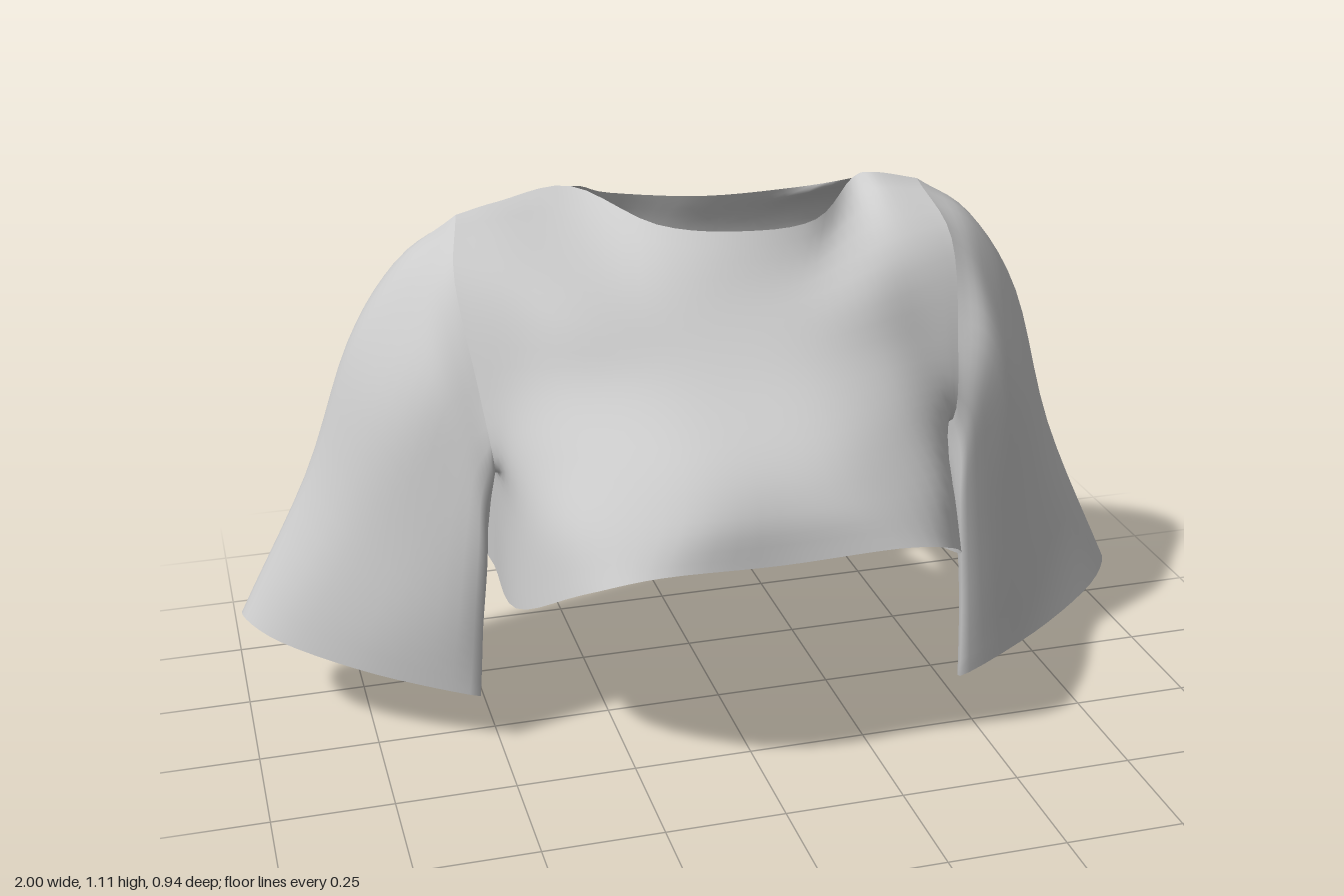
import * as THREE from 'three';
import { mergeVertices, mergeGeometries } from 'three/addons/utils/BufferGeometryUtils.js';

const S = 5; // subdivisions between neighbouring control points
const V = (p) => new THREE.Vector3(...p);
const sample = (pts, n, closed = false) => {
  const c = new THREE.CatmullRomCurve3(pts, closed, 'catmullrom', 0.5);
  return Array.from({ length: closed ? n : n + 1 }, (_, i) => c.getPoint(i / n));
};
// smooth rows lengthwise, column by column
const loft = (rows) => {
  const cols = rows[0].map((_, j) => sample(rows.map((r) => r[j]), (rows.length - 1) * S));
  return cols[0].map((_, i) => cols.map((c) => c[i]));
};
// triangles for a grid of points
function skin(grid, flip, closed) {
  const w = grid[0].length, pos = grid.flat().flatMap((p) => p.toArray()), idx = [];
  for (let i = 0; i < grid.length - 1; i++) {
    for (let j = 0; j < (closed ? w : w - 1); j++) {
      const k = (j + 1) % w;
      const a = i * w + j, b = (i + 1) * w + j, c = (i + 1) * w + k, d = i * w + k;
      idx.push(...(flip ? [a, c, b, a, d, c] : [a, b, c, a, c, d]));
    }
  }
  const g = new THREE.BufferGeometry();
  g.setAttribute('position', new THREE.Float32BufferAttribute(pos, 3));
  g.setIndex(idx);
  return g;
}

// half rows from the centre to the side, shoulder line down to hem
const FRONT = [
  [[0, 1.06, -0.02], [0.17, 1.065, -0.07], [0.31, 1.1, -0.25], [0.41, 1.1, -0.22], [0.5, 1.085, -0.2]],
  [[0, 0.93, 0.08], [0.15, 0.93, 0.075], [0.3, 0.96, 0.03], [0.42, 0.98, -0.02], [0.53, 0.99, -0.06]],
  [[0, 0.82, 0.2], [0.16, 0.82, 0.19], [0.31, 0.82, 0.14], [0.43, 0.81, 0.08], [0.51, 0.8, 0.05]],
  [[0, 0.72, 0.36], [0.17, 0.72, 0.34], [0.33, 0.71, 0.25], [0.45, 0.68, 0.14], [0.49, 0.64, 0.09]],
  [[0, 0.63, 0.43], [0.19, 0.63, 0.42], [0.37, 0.6, 0.33], [0.46, 0.55, 0.16], [0.475, 0.57, -0.08]],
  [[0, 0.53, 0.45], [0.24, 0.54, 0.46], [0.38, 0.49, 0.39], [0.475, 0.37, 0.18], [0.47, 0.335, -0.1]],
];
const BACK = [
  [[0, 1.045, -0.335], [0.21, 1.06, -0.33], ...FRONT[0].slice(2)],
  [[0, 0.96, -0.36], [0.16, 0.97, -0.37], [0.3, 0.98, -0.385], [0.42, 0.98, -0.39], [0.53, 0.99, -0.32]],
  [[0, 0.82, -0.375], [0.16, 0.82, -0.385], [0.32, 0.82, -0.4], [0.44, 0.82, -0.42], [0.55, 0.82, -0.34]],
  [[0, 0.7, -0.38], [0.16, 0.7, -0.39], [0.32, 0.7, -0.41], [0.44, 0.7, -0.43], [0.53, 0.7, -0.28]],
  [[0, 0.57, -0.385], [0.16, 0.57, -0.395], [0.32, 0.56, -0.42], [0.44, 0.54, -0.44], FRONT[4][4]],
  [[0, 0.4, -0.39], [0.16, 0.395, -0.4], [0.32, 0.385, -0.43], [0.43, 0.36, -0.455], FRONT[5][4]],
];
// sleeve rings beyond the armhole: top, front, underarm, back
const RINGS = [
  [[0.62, 1.0, -0.2], [0.61, 0.91, -0.06], [0.58, 0.76, 0.05], [0.51, 0.56, 0.1],
    [0.505, 0.5, -0.05], [0.57, 0.63, -0.27], [0.62, 0.76, -0.34], [0.63, 0.9, -0.315]],
  [[0.74, 0.81, -0.2], [0.7, 0.73, -0.06], [0.63, 0.6, 0.05], [0.515, 0.43, 0.1],
    [0.55, 0.4, -0.04], [0.63, 0.47, -0.22], [0.69, 0.6, -0.32], [0.72, 0.74, -0.3]],
  [[0.845, 0.48, -0.2], [0.79, 0.42, -0.07], [0.68, 0.33, 0.04], [0.53, 0.22, 0.09],
    [0.6, 0.2, -0.05], [0.69, 0.25, -0.21], [0.77, 0.34, -0.31], [0.82, 0.43, -0.29]],
  [[1, 0.13, -0.19], [0.93, 0.105, -0.09], [0.75, 0.055, 0.01], [0.54, 0.008, 0.08],
    [0.64, 0, -0.06], [0.75, 0.015, -0.2], [0.87, 0.05, -0.3], [0.96, 0.095, -0.28]],
];

// "spread" broadens and rounds the right back corner; the left hem droops
function panel(halfRows, spread) {
  return loft(halfRows.map((half, r) => {
    const left = half.map(V);
    const right = half.slice(1).reverse().map(([x, y, z]) => V([-x, y, z]));
    right[1].x -= spread * Math.min(r, 2) / 2;
    right[1].z += spread * 0.3 * r;
    if (r === 5) left[4].y -= 0.045;
    const row = [...right, ...left];
    // the neckline sits slightly off centre and tilts
    if (r === 0) {
      row.slice(2, 7).forEach((p) => {
        p.x += 0.06;
        p.y -= 0.05 * p.x;
      });
    }
    return sample(row, 8 * S);
  }));
}

function sleeve(side, front, back) {
  const col = side > 0 ? 8 * S : 0, n = 4 * S;
  const armhole = [];
  for (let i = 0; i <= n; i++) armhole.push(front[i][col].clone());
  for (let i = n - 1; i > 0; i--) armhole.push(back[i][col].clone());
  const lift = [0, 0.02, 0.06, 0.115]; // right sleeve hangs a little higher
  const rings = RINGS.map((ring, r) => sample(
    ring.map(([x, y, z]) => V([side * x, y + (side < 0 ? lift[r] : 0), z])), 8 * S, true));
  const grid = loft([armhole, ...rings]);
  // soft lengthwise folds that fade out at both ends
  grid.forEach((ring, i) => ring.forEach((p, j) => {
    const fade = Math.sin((Math.PI * i) / (grid.length - 1));
    const a = (j / ring.length) * Math.PI * 2;
    p.z += 0.006 * fade * Math.sin(a * 5 + i * 0.25);
    p.x += 0.005 * fade * Math.sin(a * 4 + i * 0.2);
  }));
  return skin(grid, side > 0, true);
}

export function createModel() {
  const group = new THREE.Group();
  const material = new THREE.MeshStandardMaterial({ color: 0xcccccc, side: THREE.DoubleSide });
  const add = (name, geometry) => {
    const g = mergeVertices(geometry, 1e-4);
    g.computeVertexNormals();
    const mesh = new THREE.Mesh(g, material);
    mesh.name = name;
    group.add(mesh);
  };

  const front = panel(FRONT, 0), back = panel(BACK, 0.06);
  // join the panels along the shoulders and side seams
  for (let j = 0; j <= 8 * S; j++) {
    if (j <= 2 * S || j >= 6 * S) back[0][j].copy(front[0][j]);
  }
  for (let i = 4 * S; i <= 5 * S; i++) {
    for (const j of [0, 8 * S]) back[i][j].copy(front[i][j]);
  }

  add('bodice', mergeGeometries([skin(front, false), skin(back, true)]));
  add('leftSleeve', sleeve(1, front, back));
  add('rightSleeve', sleeve(-1, front, back));
  return group;
}
